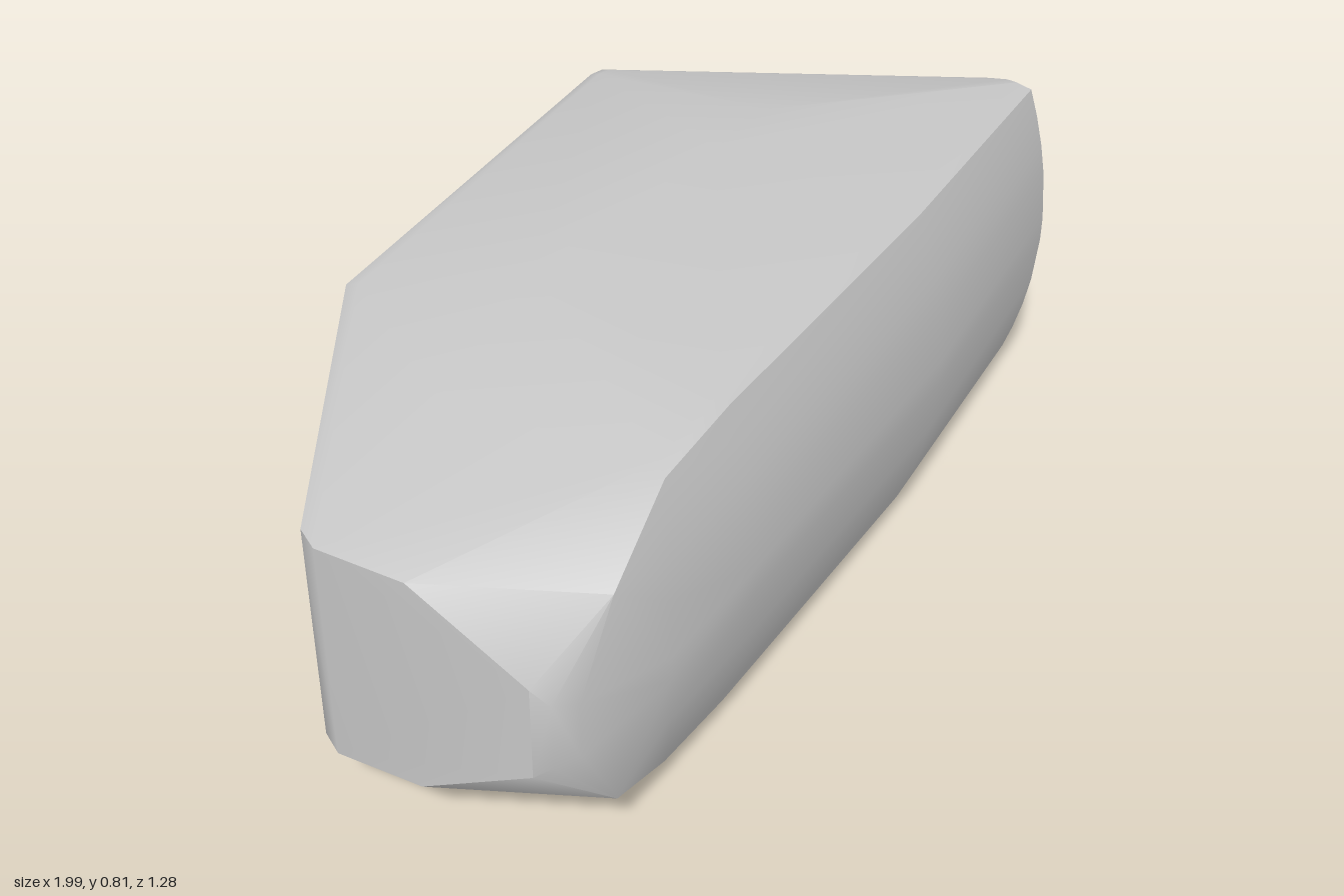
import * as THREE from 'three';
import { ConvexGeometry } from 'three/addons/geometries/ConvexGeometry.js';
import { toCreasedNormals } from 'three/addons/utils/BufferGeometryUtils.js';

const MID = 0.404; // height of the horizontal mirror plane

export function createModel() {
  const stone = new THREE.MeshStandardMaterial({ color: 0xc6c6c6 });
  const points = [];
  // adds a point above and below the mirror plane
  const add = (x, z, h) => points.push(
    new THREE.Vector3(x, MID + h, z), new THREE.Vector3(x, MID - h, z));

  // bulging walls: [mid x, mid z, rim x, rim z, rim half height]
  const walls = [
    [-0.60, 0.640, -0.53, 0.550, 0.340], // long front wall
    [-0.33, 0.580, -0.33, 0.500, 0.360],
    [0.40, 0.400, 0.38, 0.325, 0.363],
    [0.995, 0.200, 0.975, 0.140, 0.347],
    [-0.53, -0.360, -0.56, -0.270, 0.345], // long back wall
    [0.30, -0.625, 0.33, -0.555, 0.357],
    [0.40, -0.645, 0.36, -0.555, 0.356],
  ];
  for (const [mx, mz, rx, rz, h] of walls) {
    for (const t of [0.08, 0.4, 0.6, 0.8, 0.97]) {
      const k = t * t;
      add(mx + (rx - mx) * k, mz + (rz - mz) * k, h * t);
    }
    // narrow bevel that softens the rim
    add(rx * 0.985, rz - Math.sign(rz) * 0.025, h + 0.002);
  }

  // left end and its faceted front corner
  add(-1.0, 0.20, 0.238);
  add(-0.985, 0.145, 0.238);
  add(-0.945, 0.37, 0.235);
  add(-0.72, 0.628, 0.235);
  add(-0.875, 0.59, 0.10);
  add(-0.855, 0.62, 0.07);
  add(-0.81, 0.64, 0.06);

  // right end: sloped wall, rounded back corner and chamfer
  add(0.96, 0.09, 0.347);
  add(0.94, 0.055, 0.345);
  add(0.45, -0.642, 0.17);
  add(0.49, -0.615, 0.20);
  add(0.44, -0.622, 0.265);
  add(0.485, -0.605, 0.262);

  // crown of the top and bottom faces
  add(-0.66, 0.12, 0.331);
  add(-0.33, 0.0, 0.394);
  add(0.22, -0.07, 0.403);
  add(0.42, -0.12, 0.396);

  const rock = new THREE.Mesh(toCreasedNormals(new ConvexGeometry(points), 0.68), stone);
  rock.name = 'rock';
  const group = new THREE.Group();
  group.name = 'boulder';
  group.add(rock);
  return group;
}
